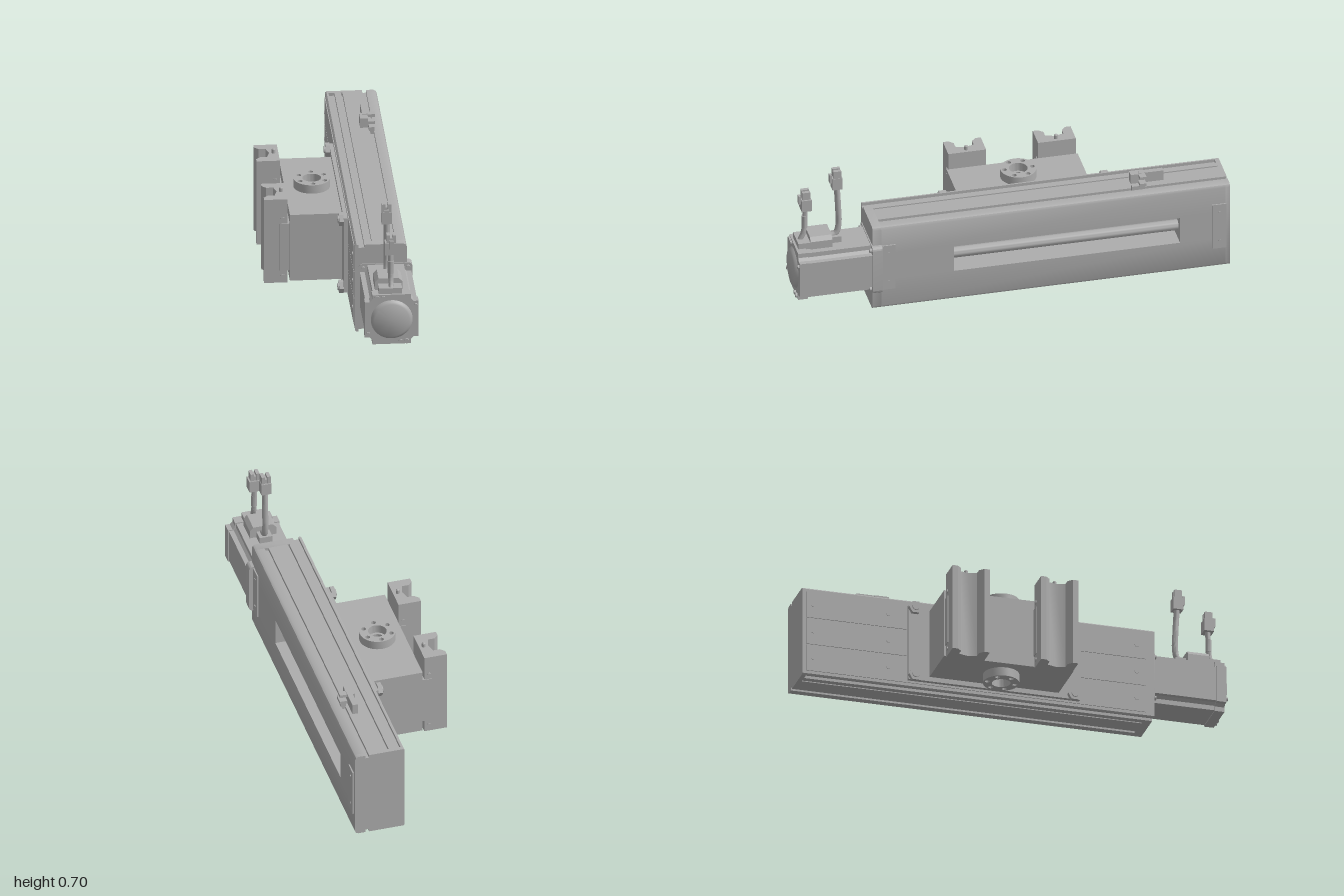
import * as THREE from 'three';
import { toCreasedNormals } from 'three/addons/utils/BufferGeometryUtils.js';

const grey = new THREE.MeshStandardMaterial({ color: 0xacacac });
grey.name = 'machineGrey';

export function createModel() {
  const root = new THREE.Group();
  root.name = 'linearActuator';

  const add = (name, geo) => {
    const m = new THREE.Mesh(toCreasedNormals(geo, 0.6), grey);
    m.name = name;
    root.add(m);
    return m;
  };
  // box given by its limits on each axis
  const box = (name, x0, x1, y0, y1, z0, z1) =>
    add(name, new THREE.BoxGeometry(x1 - x0, y1 - y0, z1 - z0)
      .translate((x0 + x1) / 2, (y0 + y1) / 2, (z0 + z1) / 2));
  const poly = (pts) => new THREE.Shape(pts.map(([x, y]) => new THREE.Vector2(x, y)));
  const hole = (x, y, r) => new THREE.Path().absarc(x, y, r, 0, Math.PI * 2, true);
  const solid = (shape, depth) => new THREE.ExtrudeGeometry(shape, { depth, bevelEnabled: false, curveSegments: 20 });
  // x-y profile swept along z
  const alongZ = (name, shape, z0, z1) => add(name, solid(shape, z1 - z0).translate(0, 0, z0));
  // x-z outline swept up y
  const alongY = (name, shape, y0, y1) =>
    add(name, solid(shape, y1 - y0).rotateX(Math.PI / 2).translate(0, y1, 0));
  const rod = (name, axis, r, len, x, y, z, seg = 24) => {
    const g = new THREE.CylinderGeometry(r, r, len, seg);
    if (axis === 'x') g.rotateZ(Math.PI / 2);
    if (axis === 'z') g.rotateX(Math.PI / 2);
    return add(name, g.translate(x, y, z));
  };
  const roundRect = (x0, x1, y0, y1, r) => {
    const s = new THREE.Shape();
    s.absarc(x1 - r, y1 - r, r, 0, Math.PI / 2);
    s.absarc(x0 + r, y1 - r, r, Math.PI / 2, Math.PI);
    s.absarc(x0 + r, y0 + r, r, Math.PI, Math.PI * 1.5);
    s.absarc(x1 - r, y0 + r, r, Math.PI * 1.5, Math.PI * 2);
    s.closePath();
    return s;
  };

  // Beam: symmetric profile with slots above and below and a side channel
  const X0 = 0.056, X1 = 0.288, H = 0.428, c = 0.015, d = 0.014;
  const beamProfile = (slots, channel) => {
    const top = [[X1, H - c], [X1 - 0.005, H - 0.005], [X1 - c, H]];
    for (const [a, b] of slots) top.push([b, H], [b, H - d], [a, H - d], [a, H]);
    top.push([X0 + 0.006, H], [X0, H - 0.006]);
    const bottom = top.map(([x, y]) => [x, H - y]).reverse();
    const side = channel ? [[X1, 0.15], [0.18, 0.15], [0.18, 0.28], [X1, 0.28]] : [];
    return poly([...top, ...bottom, ...side]);
  };
  const slotA = [0.07, 0.097], slotB = [0.222, 0.24];
  alongZ('beam', beamProfile([slotB, [0.125, 0.133], slotA], true), -0.98, 0.605);
  alongZ('frontEndPlate', beamProfile([slotA], false), 0.605, 0.645);
  alongZ('rearEndPlate', beamProfile([slotB], false), -1, -0.98);
  box('channelFillRear', 0.17, X1, 0.145, 0.285, -0.98, -0.77);
  box('channelFillFront', 0.17, X1, 0.145, 0.285, 0.27, 0.605);
  box('innerRail', 0.175, 0.225, 0.18, 0.25, -0.77, 0.27);
  rod('innerScrew', 'z', 0.025, 1.04, 0.235, 0.215, -0.25);

  // Side cover plates with screws
  for (const [z0, z1] of [[-0.982, -0.917], [0.54, 0.605]]) {
    box('sideCover', X1, 0.294, 0.1, 0.33, z0, z1);
    for (const y of [0.14, 0.29]) rod('coverScrew', 'x', 0.006, 0.003, 0.295, y, (z0 + z1) / 2, 10);
  }
  // Panels and screws on the carriage side
  for (let i = 0; i < 3; i++) {
    const y = 0.02 + i * 0.131;
    box('sidePanel', X0 - 0.004, X0 + 0.002, y, y + 0.127, -0.98, 0.605);
    for (const z of [-0.95, -0.6, 0.56]) rod('panelScrew', 'x', 0.01, 0.006, X0 - 0.004, y + 0.064, z, 12);
  }

  // Carriage plate, block and hex bolts
  box('carriagePlate', 0.034, X0, 0.03, 0.396, -0.51, 0.29);
  const FX = -0.077, FZ = -0.111;
  const block = poly([[-0.2, -0.413], [0.035, -0.413], [0.035, 0.19], [-0.2, 0.19]]);
  block.holes.push(hole(FX, FZ, 0.03));
  alongY('carriageBlock', block, 0.052, 0.376);
  for (const z of [-0.482, 0.261]) for (const y of [0.381, 0.049]) {
    rod('hexBolt', 'x', 0.031, 0.02, 0.024, y, z, 6);
    rod('boltTip', 'x', 0.016, 0.008, 0.012, y, z, 16);
  }

  // Round flanges above and below the block
  for (const [y0, y1] of [[0.376, 0.417], [0.011, 0.052]]) {
    const ring = new THREE.Shape().absarc(FX, FZ, 0.082, 0, Math.PI * 2);
    ring.holes.push(hole(FX, FZ, 0.042));
    for (let i = 0; i < 6; i++) {
      const a = Math.PI / 6 + i * Math.PI / 3;
      ring.holes.push(hole(FX + 0.064 * Math.sin(a + Math.PI / 6), FZ + 0.064 * Math.cos(a + Math.PI / 6), 0.011));
    }
    alongY('flange', ring, y0, y1);
  }

  // Grippers with a jaw-shaped section
  for (const z of [-0.32, 0.093]) {
    const jaw = [[-0.315, 0.087], [-0.315, 0.062], [-0.295, 0.042], [-0.264, 0.042], [-0.252, 0]];
    const mirror = jaw.slice(0, 4).reverse().map(([x, v]) => [x, -v]);
    const outline = [...jaw, ...mirror, [-0.21, -0.087], [-0.21, 0.087]];
    alongY('gripper', poly(outline.map(([x, v]) => [x, z + v])), 0.04, 0.45);
    box('gripperMount', -0.212, -0.198, 0.1, 0.33, z - 0.087, z + 0.087);
    box('gripperRib', -0.245, -0.205, 0.1, 0.33, z - 0.09, z + 0.09);
    rod('gripperPin', 'y', 0.009, 0.03, -0.232, 0.452, z, 16);
    const tip = new THREE.SphereGeometry(0.009, 16, 8, 0, Math.PI * 2, 0, Math.PI / 2);
    add('pinTip', tip.translate(-0.232, 0.463, z));
    for (const y of [0.355, 0.073]) for (const s of [-1, 1])
      rod('gripperScrew', 'z', 0.009, 0.006, -0.232, y, z + s * 0.088, 16);
  }

  // Motor: mounting flange, body and notched rear cap
  const MX = 0.192, MY = 0.214;
  const notched = (h, n) => {
    const pts = [];
    for (let i = 0; i < 4; i++) {
      const cs = Math.cos(i * Math.PI / 2), sn = Math.sin(i * Math.PI / 2);
      for (const [x, y] of [[h, h - n], [h - n + 0.012, h - n], [h - n, h - n + 0.012], [h - n, h]])
        pts.push([MX + x * cs - y * sn, MY + x * sn + y * cs]);
    }
    return poly(pts);
  };
  alongZ('motorFlange', roundRect(MX - 0.121, MX + 0.121, MY - 0.121, MY + 0.121, 0.018), 0.604, 0.65);
  alongZ('motorBody', notched(0.116, 0.034), 0.65, 0.94);
  alongZ('motorRearCap', notched(0.121, 0.034), 0.94, 0.985);
  const dome = [[0, 0.015], [0.078, 0.015], [0.087, 0.009], [0.094, 0]].reverse();
  add('motorDome', new THREE.LatheGeometry(dome.map(([r, y]) => new THREE.Vector2(r, y)), 48)
    .rotateX(Math.PI / 2).translate(MX, MY, 0.985));
  for (const sx of [-1, 1]) for (const sy of [-1, 1])
    rod('flangeBolt', 'z', 0.01, 0.012, MX + sx * 0.101, MY + sy * 0.101, 0.655, 16);
  for (const [x, y, r] of [[0.125, 0.322, 0.011], [0.154, 0.322, 0.009], [0.3, 0.281, 0.009],
    [0.085, 0.147, 0.009], [0.232, 0.107, 0.009], [0.259, 0.107, 0.011]])
    rod('capScrew', 'z', r, 0.012, x, y, 0.988, 16);

  // Cable entry housings on the motor
  const lid = poly([[0.122, 0.33], [0.246, 0.33], [0.246, 0.368], [0.23, 0.386], [0.138, 0.386], [0.122, 0.368]]);
  alongZ('cableHousing', lid, 0.82, 0.92);
  box('cableBase', 0.135, 0.24, 0.33, 0.362, 0.92, 0.975);
  box('rearCableBase', 0.155, 0.215, 0.33, 0.36, 0.77, 0.82);

  // Cables
  const cable = (name, r, pts) => add(name, new THREE.TubeGeometry(
    new THREE.CatmullRomCurve3(pts.map((p) => new THREE.Vector3(...p))), 24, r, 12));
  cable('frontCable', 0.012, [[0.192, 0.35, 0.96], [0.192, 0.385, 0.943], [0.192, 0.44, 0.936], [0.192, 0.52, 0.932]]);
  cable('rearCable', 0.014, [[0.186, 0.355, 0.825], [0.186, 0.366, 0.79], [0.186, 0.41, 0.778], [0.186, 0.5, 0.78], [0.186, 0.61, 0.786]]);
  rod('frontCableSleeve', 'y', 0.014, 0.06, 0.192, 0.45, 0.936, 16);

  // Plug connectors: body, split top, latch
  for (const [x, y, z, w, h] of [[0.193, 0.516, 0.932, 0.056, 0.058], [0.184, 0.602, 0.787, 0.046, 0.058]]) {
    box('plugBody', x - w / 2, x + w / 2, y, y + h, z - 0.023, z + 0.023);
    for (const s of [-1, 1]) {
      const px = x + s * 0.013;
      box('plugTop', px - 0.008, px + 0.008, y + h, y + 0.095, z - 0.018, z + 0.018);
    }
    box('plugCore', x - 0.006, x + 0.006, y + h, y + 0.08, z - 0.016, z + 0.016);
    box('plugLatch', x - 0.01, x + 0.01, y + 0.03, y + 0.072, z + 0.023, z + 0.033);
  }

  // Position sensor on top of the beam
  box('sensorBase', 0.218, 0.242, 0.414, 0.447, -0.62, -0.56);
  box('sensorBody', 0.19, 0.214, 0.446, 0.496, -0.71, -0.6);
  box('sensorHead', 0.178, 0.214, 0.446, 0.492, -0.625, -0.56);
  for (const y of [0.446, 0.481]) box('sensorProng', 0.205, 0.248, y, y + 0.014, -0.625, -0.595);

  return root;
}
